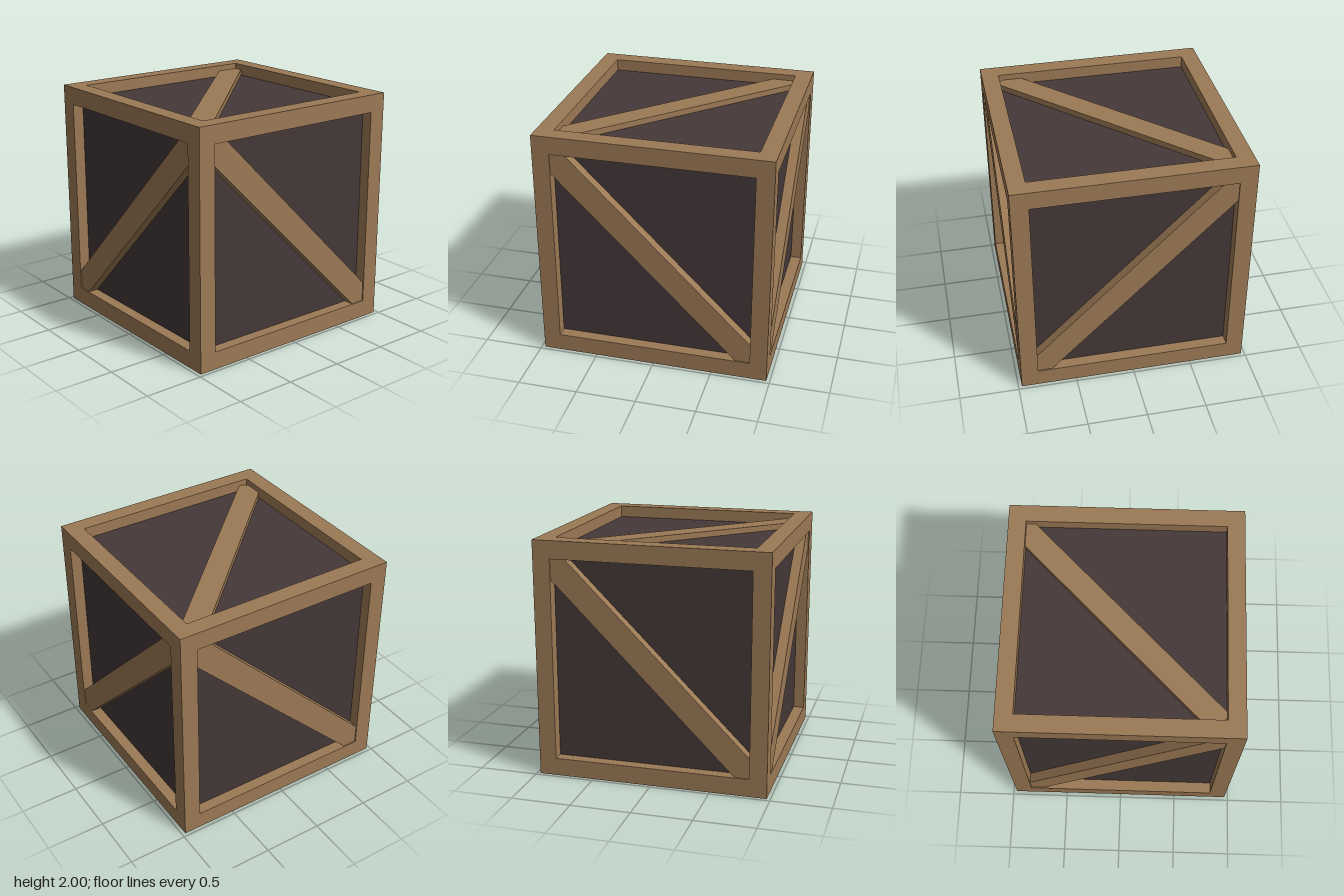
import * as THREE from 'three';

const H = 0.97;      // half width and depth of the crate
const BEAM = 0.145;  // frame beam thickness

export function createModel() {
  const crate = new THREE.Group();
  crate.name = 'crate';
  const wood = new THREE.MeshStandardMaterial({ color: 0x9c7a55 });
  wood.name = 'wood';
  const dark = new THREE.MeshStandardMaterial({ color: 0x453838 });
  dark.name = 'darkPanel';

  function box(name, w, h, d, x, y, z, material) {
    const mesh = new THREE.Mesh(new THREE.BoxGeometry(w, h, d), material);
    mesh.name = name;
    mesh.position.set(x, y, z);
    crate.add(mesh);
  }

  // Recessed panels: one closed inner box
  box('innerPanels', 1.75, 1.8, 1.75, 0, 1, 0, dark);

  // Frame: four posts with rails butted between them
  const c = H - BEAM / 2;
  const span = 2 * (H - BEAM);
  for (const a of [-1, 1]) {
    for (const b of [-1, 1]) {
      box('cornerPost', BEAM, 2, BEAM, a * c, 1, b * c, wood);
      const y = 1 + a * 0.925;
      box('railAcross', span, 0.15, BEAM, 0, y, b * c, wood);
      box('railDeep', BEAM, 0.15, span, b * c, y, 0, wood);
    }
  }

  // Diagonal braces, clipped to the frame opening, facing +z around the crate centre
  const rising = [[-0.825, -0.85], [-0.7, -0.85], [0.825, 0.68], [0.825, 0.85], [0.7, 0.85], [-0.825, -0.68]];
  const falling = rising.map(([x, y]) => [-x, y]).reverse();
  const lid = [[-0.825, -0.79], [-0.79, -0.825], [-0.745, -0.825], [0.825, 0.745],
    [0.825, 0.825], [0.625, 0.825], [-0.825, -0.625]];

  function brace(name, points, front, rotation) {
    const shape = new THREE.Shape(points.map(([x, y]) => new THREE.Vector2(x, y)));
    const geometry = new THREE.ExtrudeGeometry(shape, { depth: front - 0.85, bevelEnabled: false });
    geometry.translate(0, 0, 0.85);
    const mesh = new THREE.Mesh(geometry, wood);
    mesh.name = name;
    mesh.position.y = 1;
    mesh.rotation.set(...rotation, 'ZYX');
    crate.add(mesh);
  }

  const q = Math.PI / 2;
  brace('frontBrace', falling, 0.96, [0, 0, 0]);
  brace('backBrace', falling, 0.96, [0, 2 * q, 0]);
  brace('leftBrace', rising, 0.96, [0, q, 0]);
  brace('rightBrace', rising, 0.96, [0, -q, 0]);
  brace('topBrace', lid, 0.95, [-q, 0, 0]);
  brace('bottomBrace', lid, 0.95, [-q, 0, 2 * q]);

  return crate;
}
